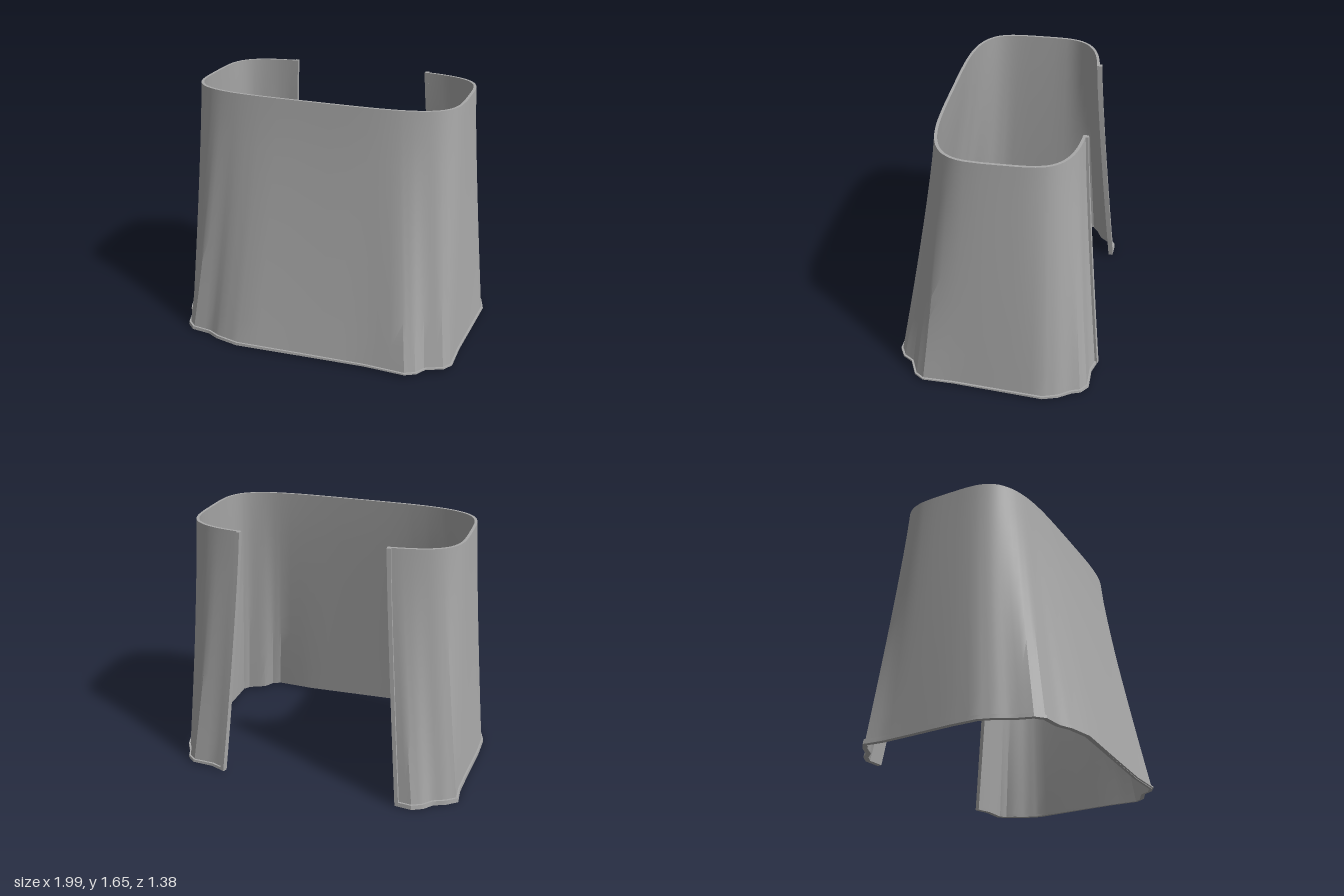
import * as THREE from 'three';
import { toCreasedNormals } from 'three/addons/utils/BufferGeometryUtils.js';

const HEIGHT = 1.655;

// Irregular bottom outline (x, z): left back end, round the front, to the right back end
const FOOT = [
  [-0.59, -0.685], [-0.7, -0.695], [-0.77, -0.66], [-0.82, -0.605], [-0.9, -0.57], [-0.965, -0.52],
  [-0.955, -0.4], [-0.965, -0.24], [-0.99, 0.08], [-0.993, 0.25], [-0.96, 0.35], [-0.91, 0.43],
  [-0.875, 0.545], [-0.82, 0.595], [-0.69, 0.61], [-0.61, 0.65], [-0.45, 0.685], [0, 0.662],
  [0.43, 0.642], [0.7, 0.652], [0.77, 0.615], [0.81, 0.55], [0.92, 0.5], [0.96, 0.44],
  [0.96, 0.24], [0.985, -0.13], [1.0, -0.35], [0.97, -0.45], [0.92, -0.53], [0.9, -0.59],
  [0.845, -0.635], [0.7, -0.64], [0.6, -0.675],
];
const STEPS = 3;
const COUNT = (FOOT.length - 1) * STEPS + 1;

function footPoint(i) {
  const k = Math.min(Math.floor(i / STEPS), FOOT.length - 2);
  const a = new THREE.Vector2(...FOOT[k]);
  return a.lerp(new THREE.Vector2(...FOOT[k + 1]), i / STEPS - k);
}

// Matching point on the smooth rounded-rectangle rim
function rimPoint(p) {
  const u = p.x / 1.12, v = (p.y + 0.01) / 0.67;
  const r = (u ** 4 + v ** 4) ** -0.25;
  return new THREE.Vector2(0.885 * u * r, -0.065 + 0.465 * v * r);
}

// Outline at a given height, flaring gently towards the foot
function outlinePoint(i, y) {
  const foot = footPoint(i);
  return rimPoint(foot).lerp(foot, Math.max(0, 1 - y / HEIGHT) ** 1.15);
}

// Point on the wall, moved outwards and along the outline
function wallPoint(i, y, out, along = 0) {
  const p = outlinePoint(i, y);
  const t = outlinePoint(Math.min(i + 1, COUNT - 1), y).sub(outlinePoint(Math.max(i - 1, 0), y)).normalize();
  return new THREE.Vector3(p.x - t.y * out + t.x * along, y, p.y + t.x * out + t.y * along);
}

// Closed section: up the outside, down the inside
function section(i, heights, outer, inner, along) {
  return [
    ...heights.map((y) => wallPoint(i, y, outer, along)),
    ...[...heights].reverse().map((y) => wallPoint(i, y, inner, along)),
  ];
}

// Skin a row of closed sections and cap both ends
function loft(sections) {
  const n = sections[0].length, last = (sections.length - 1) * n;
  const index = [];
  const quad = (a, b, c, d) => index.push(a, b, c, a, c, d);
  for (let i = 0; i < sections.length - 1; i++) {
    for (let j = 0; j < n; j++) {
      const k = (j + 1) % n;
      quad(i * n + j, (i + 1) * n + j, (i + 1) * n + k, i * n + k);
    }
  }
  for (let j = 0; j < n / 2 - 1; j++) {
    const ring = [j, j + 1, n - 2 - j, n - 1 - j];
    quad(...ring);
    quad(...ring.reverse().map((v) => v + last));
  }
  const geometry = new THREE.BufferGeometry().setFromPoints(sections.flat());
  geometry.setIndex(index);
  return toCreasedNormals(geometry, 0.45);
}

export function createModel() {
  const group = new THREE.Group();
  const grey = new THREE.MeshStandardMaterial({ color: 0xa8a8a8 });
  grey.name = 'grey';
  const add = (name, sections) => {
    const mesh = new THREE.Mesh(loft(sections), grey);
    mesh.name = name;
    group.add(mesh);
  };

  const columns = Array.from({ length: COUNT }, (_, i) => i);
  const heights = Array.from({ length: 11 }, (_, j) => 0.015 + (HEIGHT - 0.015) * j / 10);

  // Thin curved wall, open at the back
  add('wall', columns.map((i) => section(i, heights, -0.012, -0.03)));

  // Narrow lip round the foot, dipping slightly at the left back
  const lip = columns.map((i) => {
    const p = footPoint(i);
    const low = Math.max(0, 0.011 + 0.007 * (p.x + p.y));
    return section(i, [low, 0.03], 0, -0.03);
  });
  add('footLip', lip);

  // Raised beads along the two back edges
  add('leftEdgeBead', [0, 0.025].map((d) => section(0, heights, 0.004, -0.03, d)));
  add('rightEdgeBead', [-0.025, 0].map((d) => section(COUNT - 1, heights, 0.004, -0.03, d)));

  return group;
}
